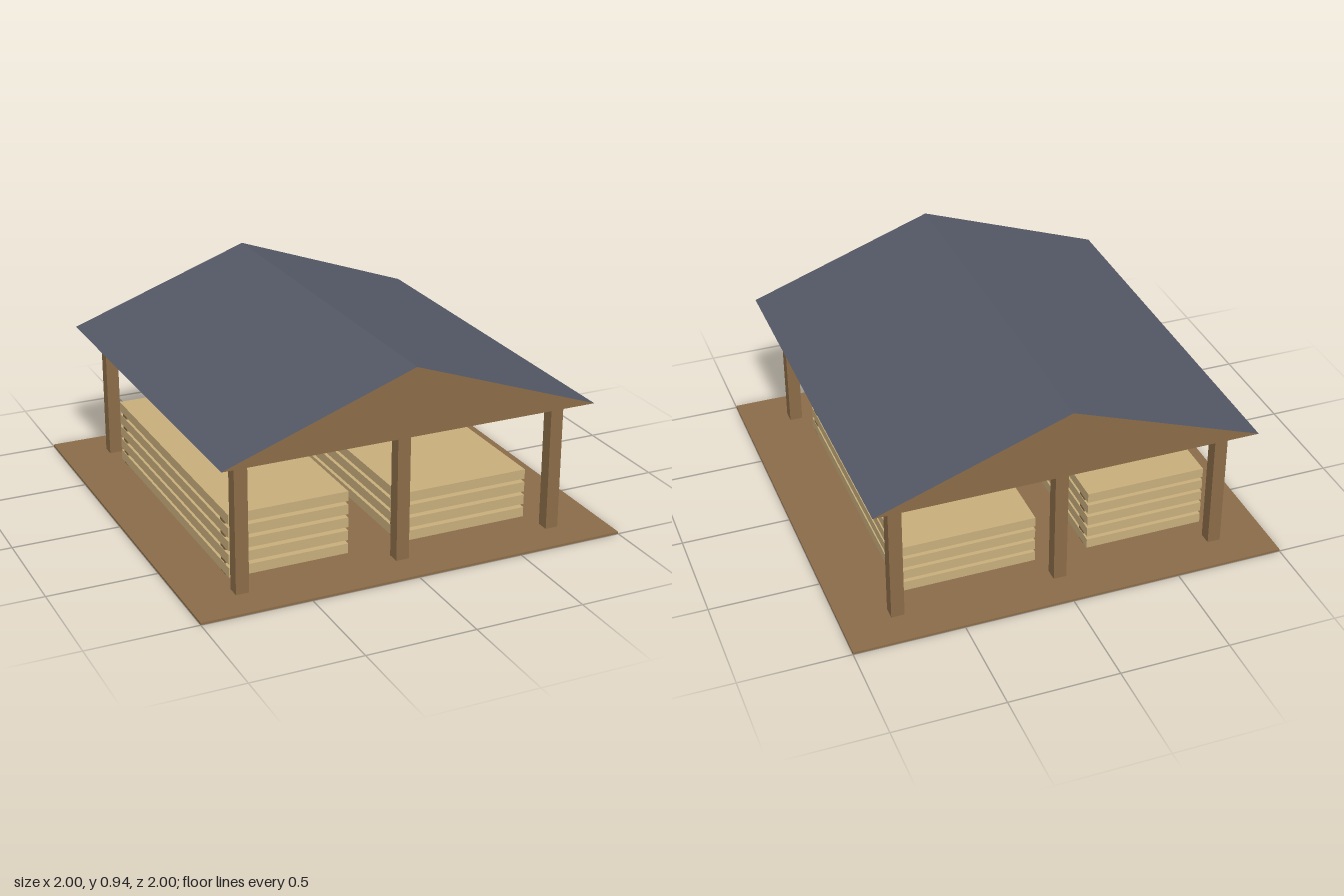
import * as THREE from 'three';

const timber = new THREE.MeshStandardMaterial({ color: 0x8b6c48 });
timber.name = 'brown timber';
const gableWood = new THREE.MeshStandardMaterial({ color: 0x8b6c48, side: THREE.DoubleSide });
gableWood.name = 'brown gable wood';
const slate = new THREE.MeshStandardMaterial({ color: 0x545866, side: THREE.DoubleSide });
slate.name = 'blue grey roofing';
const lumber = new THREE.MeshStandardMaterial({ color: 0xc8ae7c });
lumber.name = 'pale lumber';

// Box given by its limits on each axis
function box(name, material, [x0, x1], [y0, y1], [z0, z1]) {
  const mesh = new THREE.Mesh(new THREE.BoxGeometry(x1 - x0, y1 - y0, z1 - z0), material);
  mesh.position.set((x0 + x1) / 2, (y0 + y1) / 2, (z0 + z1) / 2);
  mesh.name = name;
  return mesh;
}

// Flat sheet from corners listed anticlockwise as seen from outside
function sheet(name, material, corners) {
  const geometry = new THREE.BufferGeometry();
  geometry.setAttribute('position', new THREE.Float32BufferAttribute(corners.flat(), 3));
  geometry.setIndex(corners.length === 4 ? [0, 1, 2, 0, 2, 3] : [0, 1, 2]);
  geometry.computeVertexNormals();
  const mesh = new THREE.Mesh(geometry, material);
  mesh.name = name;
  return mesh;
}

// Open-bottomed gable roof
function createRoof() {
  const roof = new THREE.Group();
  roof.name = 'roof';
  const w = 0.873, d = 0.94, eave = 0.63, ridge = 0.94;
  for (const s of [1, -1]) {
    roof.add(sheet(s > 0 ? 'leftSlope' : 'rightSlope', slate,
      [[s * w, eave, s * d], [s * w, eave, -s * d], [0, ridge, -s * d], [0, ridge, s * d]]));
    roof.add(sheet(s > 0 ? 'frontGable' : 'backGable', gableWood,
      [[-s * w, eave, s * d], [s * w, eave, s * d], [0, ridge, s * d]]));
  }
  return roof;
}

// Stack of boards, each resting on a pair of thin cross strips
function createStack(name, xs, layers) {
  const stack = new THREE.Group();
  stack.name = name;
  for (let i = 0; i < layers; i++) {
    const y = 0.014 + i * 0.0625;
    stack.add(box('boardLayer', lumber, xs, [y, y + 0.046], [-0.69, 0.69]));
    for (const z of [-0.625, 0.625]) {
      stack.add(box('spacer', timber, xs, [Math.max(0.005, y - 0.0125), y], [z - 0.025, z + 0.025]));
    }
  }
  return stack;
}

export function createModel() {
  const model = new THREE.Group();
  model.name = 'lumberShelter';
  model.add(box('floor', timber, [-1, 1], [0, 0.01], [-1, 1]));

  // Three posts along the front and three along the back
  for (const x of [-0.75, 0, 0.75]) {
    for (const z of [-0.81, 0.81]) {
      model.add(box('post', timber, [x - 0.03, x + 0.03], [0.01, 0.63], [z - 0.03, z + 0.03]));
    }
  }

  model.add(createRoof());
  model.add(createStack('tallStack', [-0.75, -0.19], 5));
  model.add(createStack('wideStack', [0.06, 0.69], 4));
  return model;
}
